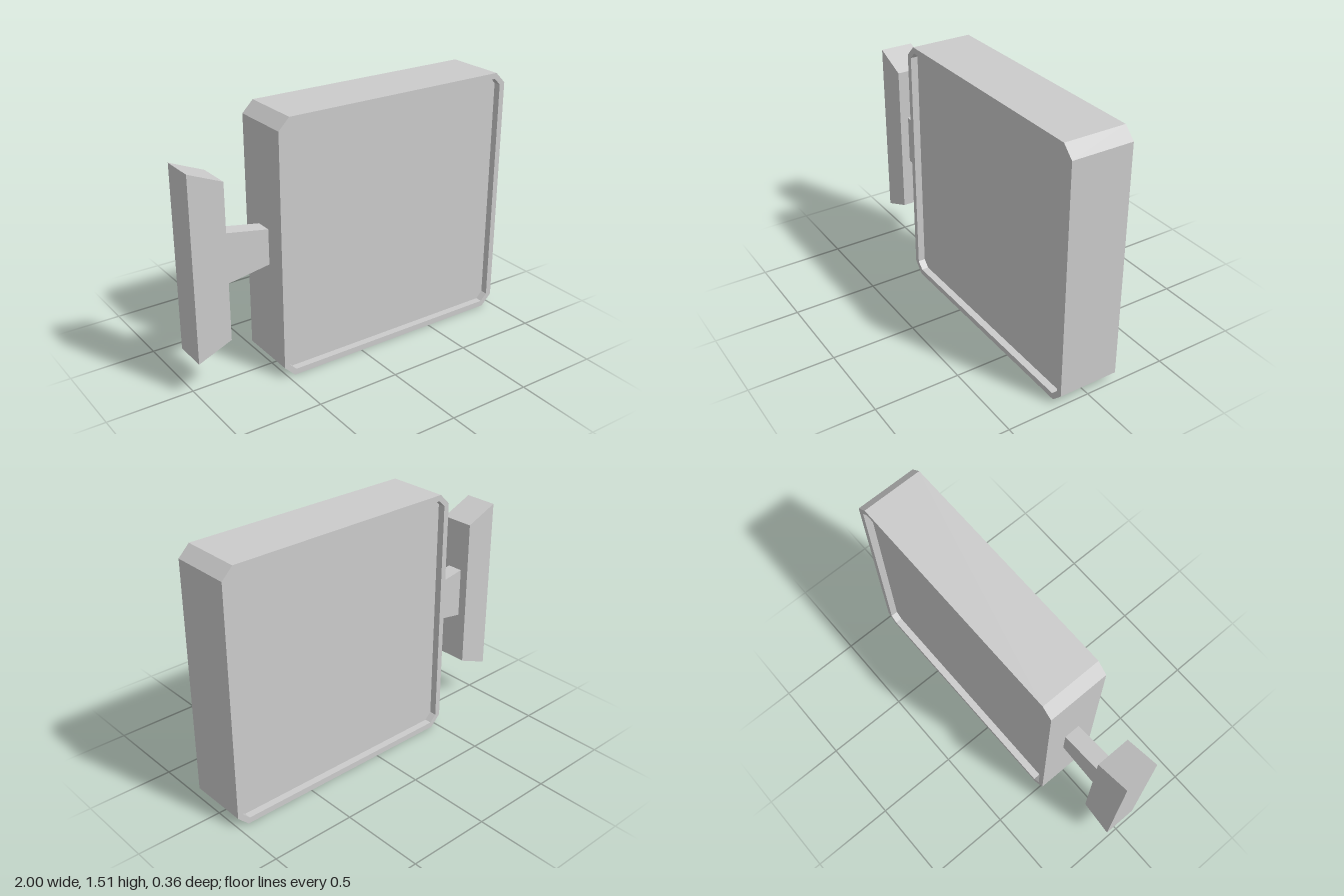
import * as THREE from 'three';

const material = new THREE.MeshStandardMaterial({ color: 0xcccccc, flatShading: true });

// Corner points of a rectangle with chamfered corners, anticlockwise
function chamferedRect(x0, y0, x1, y1, c) {
  return [
    [x0 + c, y0], [x1 - c, y0], [x1, y0 + c], [x1, y1 - c],
    [x1 - c, y1], [x0 + c, y1], [x0, y1 - c], [x0, y0 + c],
  ].map(([x, y]) => new THREE.Vector2(x, y));
}

// Flat outline extruded along z and centred on z = 0
function plate(name, points, depth, hole) {
  const shape = new THREE.Shape(points);
  if (hole) shape.holes.push(new THREE.Path(hole));
  const geometry = new THREE.ExtrudeGeometry(shape, { depth, bevelEnabled: false });
  geometry.translate(0, 0, -depth / 2);
  const mesh = new THREE.Mesh(geometry, material);
  mesh.name = name;
  return mesh;
}

// Outline that tapers vertically between two x positions
function taper(xa, bottomA, topA, xb, bottomB, topB) {
  return [[xa, bottomA], [xb, bottomB], [xb, topB], [xa, topA]]
    .map(([x, y]) => new THREE.Vector2(x, y));
}

export function createModel() {
  const group = new THREE.Group();
  group.name = 'wallSign';

  // Sign box: an open rim around a panel recessed on both sides
  const outer = chamferedRect(-0.522, 0, 1, 1.507, 0.065);
  const inner = chamferedRect(-0.488, 0.035, 0.965, 1.473, 0.04);
  group.add(plate('signFrame', outer, 0.36, inner));
  group.add(plate('signPanel', inner, 0.275));

  // Bracket arm narrowing towards the sign
  group.add(plate('bracketArm', taper(-0.8, 0.607, 0.908, -0.522, 0.652, 0.86), 0.096));

  // Wall mount, tallest against the wall
  group.add(plate('wallMount', taper(-1, 0.22, 1.295, -0.8, 0.303, 1.212), 0.2));

  return group;
}
